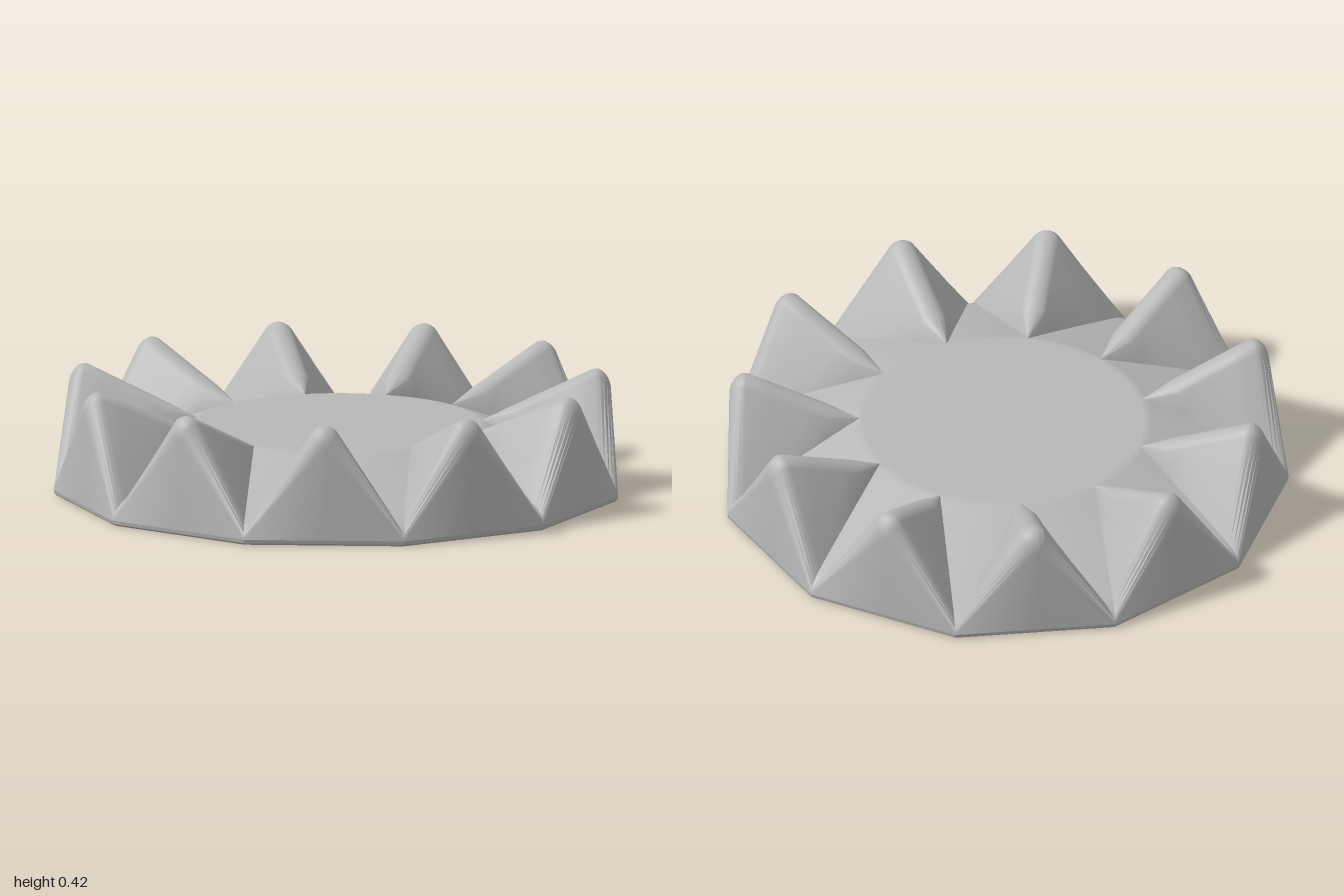
import * as THREE from 'three';
import { toCreasedNormals } from 'three/addons/utils/BufferGeometryUtils.js';

const PEAKS = 11;
const STEP = (Math.PI * 2) / PEAKS;
const RIM = 1.01;                              // corner radius of the outline
const APOTHEM = RIM * Math.cos(STEP / 2);
const HALF_SIDE = RIM * Math.sin(STEP / 2);
const DISC = 0.51, DISC_Y = 0.245;             // flat middle
const CORNER_Y = 0.06, BASE_Y = 0.02;
const FILLET = 0.06, FLANK = 0.953;            // edge rounding, flank angle
const CENTRE_X = 0.02;
const CAP_STEPS = 4, WEDGE_STEPS = 6;

// Place a point of one sector: d outward, w sideways, y up
function place(sector, d, w, y) {
  const a = sector * STEP, c = Math.cos(a), s = Math.sin(a);
  return [CENTRE_X + d * c - w * s, y, d * s + w * c];
}

// Build a closed row by repeating one sector's points
function ring(points) {
  const row = [];
  for (let k = 0; k < PEAKS; k++) for (const [d, w, y] of points) row.push(place(k, d, w, y));
  return row;
}

// Cross-section of a ridge and the sloping wedge beside it, t = 0 at disc, 1 at rim
function section(t, drop = 0) {
  const d = DISC + (APOTHEM - DISC) * t;
  const half = HALF_SIDE * t;
  const r = Math.hypot(d, half);
  const baseY = DISC_Y + (CORNER_Y - DISC_Y) * (r - DISC) / (RIM - DISC) - (CORNER_Y - BASE_Y) * drop;
  const peakY = DISC_Y + 0.18 * Math.min(1, t / 0.88) - 0.08 * drop;
  const round = 0.055 * Math.min(1, t / 0.25) * (1 - 0.85 * drop);
  const points = [[d, -half, baseY]];
  for (let i = -CAP_STEPS; i <= CAP_STEPS; i++) {
    const a = FLANK * i / CAP_STEPS;
    points.push([d, round * Math.sin(a), peakY - round * (1 - Math.cos(a))]);
  }
  points.push([d, half, baseY]);
  const edge = Math.atan2(half, d);
  for (let i = 1; i < WEDGE_STEPS; i++) {
    const a = edge + (STEP - 2 * edge) * i / WEDGE_STEPS;
    points.push([r * Math.cos(a), r * Math.sin(a), baseY]);
  }
  return points;
}

// Skin a list of equal-length closed rows
function skin(rows) {
  const n = rows[0].length, index = [];
  for (let i = 0; i < rows.length - 1; i++) {
    for (let j = 0; j < n; j++) {
      const a = i * n + j, b = i * n + (j + 1) % n;
      index.push(a, b, a + n, b, b + n, a + n);
    }
  }
  const geometry = new THREE.BufferGeometry();
  geometry.setAttribute('position', new THREE.Float32BufferAttribute(rows.flat(2), 3));
  geometry.setIndex(index);
  return toCreasedNormals(geometry, 0.52);
}

export function createModel() {
  const group = new THREE.Group();
  const grey = new THREE.MeshStandardMaterial({ color: 0xb8b8b8 });
  grey.name = 'grey';
  const add = (name, rows) => {
    const mesh = new THREE.Mesh(skin(rows), grey);
    mesh.name = name;
    group.add(mesh);
  };

  const start = section(0);
  const scaled = (points, s, y) => points.map(([d, w]) => [d * s, w * s, y]);

  // Flat middle
  const discEdge = ring(scaled(start, 0.97, DISC_Y));
  add('topDisc', [ring(scaled(start, 0, DISC_Y)), discEdge]);

  // Ridges, wedges and rounded outer triangles
  const crown = [discEdge, ring(start)];
  const full = 1 - FILLET / (APOTHEM - DISC);
  for (const t of [0.04, 0.12, 0.25, 0.4, 0.55, 0.7, full]) crown.push(ring(section(t)));
  for (let i = 1; i <= 6; i++) {
    const a = (Math.PI / 2) * i / 6;
    crown.push(ring(section(full + (1 - full) * Math.sin(a), 1 - Math.cos(a))));
  }
  const rim = section(1, 1);
  crown.push(ring(scaled(rim, 1, BASE_Y)));
  add('peakedCrown', crown);

  // Bevelled foot and underside
  const foot = ring(scaled(rim, 0.988, 0));
  add('footBevel', [ring(scaled(rim, 1, BASE_Y)), ring(scaled(rim, 0.997, 0.007)), foot]);
  add('underside', [foot, ring(scaled(rim, 0, 0))]);

  return group;
}
